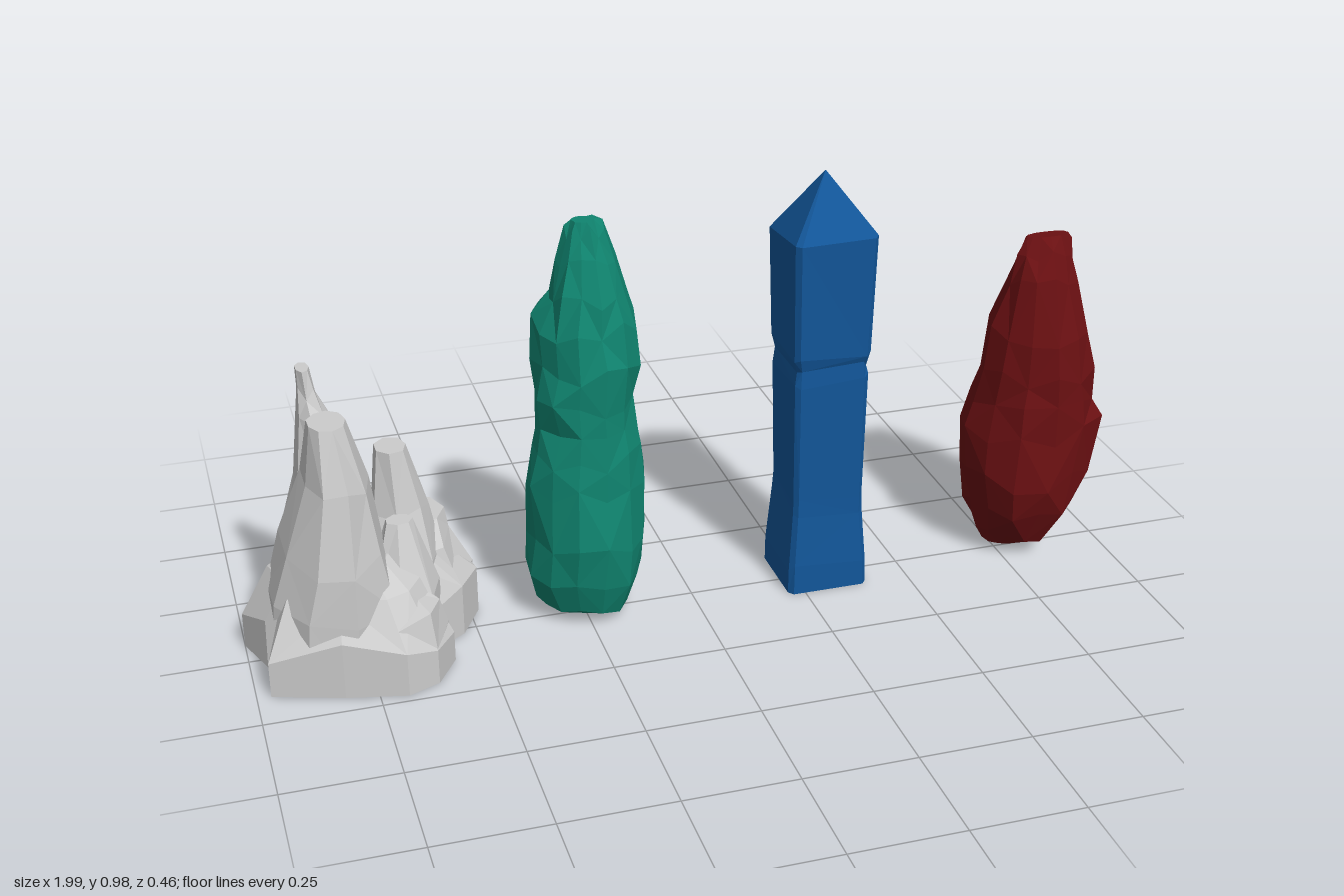
import * as THREE from 'three';

// Repeatable random numbers
function seeded(seed) {
  let s = seed;
  return () => {
    s = (s * 16807) % 2147483647;
    return s / 2147483647;
  };
}

const material = (color) => new THREE.MeshStandardMaterial({ color, flatShading: true });

// Faceted solid through rings of [x, y, z] points, capped at both ends
function loft(rings) {
  const pos = [];
  const tri = (a, b, c) => pos.push(...a, ...b, ...c);
  const middle = (r) => [0, 1, 2].map((k) => r.reduce((sum, p) => sum + p[k], 0) / r.length);
  const n = rings[0].length;
  const bottom = rings[0], top = rings[rings.length - 1];
  const cb = middle(bottom), ct = middle(top);
  for (let i = 0; i < n; i++) {
    const j = (i + 1) % n;
    for (let k = 0; k + 1 < rings.length; k++) {
      const a = rings[k][i], b = rings[k][j], c = rings[k + 1][i], d = rings[k + 1][j];
      // alternate the diagonals for an irregular facet pattern
      if ((i + k) % 2) { tri(a, c, b); tri(b, c, d); }
      else { tri(a, d, b); tri(a, c, d); }
    }
    tri(cb, bottom[i], bottom[j]);
    tri(ct, top[j], top[i]);
  }
  const geometry = new THREE.BufferGeometry();
  geometry.setAttribute('position', new THREE.Float32BufferAttribute(pos, 3));
  geometry.computeVertexNormals();
  return geometry;
}

// Unit outlines
const round = (n) => Array.from({ length: n }, (_, i) => {
  const t = (i / n) * Math.PI * 2;
  return [Math.cos(t), Math.sin(t)];
});
const square = (c) => [[1, -c], [1, c], [c, 1], [-c, 1], [-1, c], [-1, -c], [-c, -1], [c, -1]];

// Sections are [y, xMin, xMax, zMin, zMax]; rough shifts points in and out, lift up and down
function rock(sections, outline, seed = 1, rough = 0, lift = 0) {
  const rand = seeded(seed * 7919);
  rand();
  return loft(sections.map(([y, x0, x1, z0, z1], k) => outline.map(([u, v]) => {
    const s = 1 + (rand() * 2 - 0.9) * rough;
    const inner = k > 0 && k < sections.length - 1;
    const dy = (rand() * 2 - 1) * (inner ? lift : 0);
    return [
      (x0 + x1) / 2 + (x1 - x0) / 2 * u * s,
      y + dy,
      (z0 + z1) / 2 + (z1 - z0) / 2 * v * s,
    ];
  })));
}

function mesh(name, geometry, mat) {
  const m = new THREE.Mesh(geometry, mat);
  m.name = name;
  return m;
}

// Grey outcrop: an irregular skirt with spires and boulders
function createOutcrop() {
  const group = new THREE.Group();
  group.name = 'greyOutcrop';
  const mat = material(0xcccccc);

  // [x, z, height of the rim]
  const rim = [
    [-1, -0.07, 0.08], [-0.92, -0.17, 0.1], [-0.78, -0.23, 0.14], [-0.73, -0.19, 0.16],
    [-0.6, -0.2, 0.16], [-0.52, -0.16, 0.14], [-0.48, -0.07, 0.11], [-0.53, 0.02, 0.12],
    [-0.59, 0.06, 0.1], [-0.57, 0.12, 0.07], [-0.62, 0.2, 0.08], [-0.69, 0.23, 0.1],
    [-0.82, 0.2, 0.13], [-0.97, 0.15, 0.08], [-0.96, 0.04, 0.12],
  ];
  const inset = (s, y) => rim.map(([x, z]) => [-0.78 + (x + 0.78) * s, y, -0.01 + (z + 0.01) * s]);
  group.add(mesh('baseSkirt', loft([
    inset(1, 0),
    rim.map(([x, z, h]) => [x, h, z]),
    inset(0.72, 0.2),
    inset(0.45, 0.25),
  ]), mat));

  const parts = {
    mainSpire: [[0, -0.96, -0.68, -0.18, 0.19], [0.16, -0.955, -0.66, -0.18, 0.2],
      [0.28, -0.91, -0.69, -0.16, 0.195], [0.44, -0.86, -0.72, -0.08, 0.15],
      [0.575, -0.84, -0.76, 0, 0.1]],
    tallSpire: [[0, -0.95, -0.7, -0.21, 0.05], [0.25, -0.91, -0.7, -0.19, 0.05],
      [0.4, -0.87, -0.72, -0.165, 0.03], [0.54, -0.845, -0.78, -0.14, -0.02],
      [0.59, -0.84, -0.8, -0.13, -0.05], [0.64, -0.84, -0.81, -0.115, -0.06]],
    sideSpire: [[0, -0.74, -0.54, -0.16, 0.04], [0.2, -0.74, -0.56, -0.15, 0.04],
      [0.3, -0.71, -0.58, -0.13, 0], [0.44, -0.69, -0.62, -0.11, -0.03]],
    lowSpire: [[0, -0.75, -0.58, -0.05, 0.12], [0.15, -0.74, -0.58, -0.04, 0.12],
      [0.31, -0.69, -0.63, 0, 0.05]],
    sideBoulder: [[0, -0.74, -0.49, -0.2, 0.02], [0.11, -0.74, -0.49, -0.2, 0.02],
      [0.2, -0.7, -0.53, -0.2, 0], [0.25, -0.66, -0.54, -0.18, -0.05]],
    frontBoulder: [[0, -0.8, -0.58, 0, 0.22], [0.09, -0.8, -0.58, 0, 0.22],
      [0.15, -0.76, -0.6, 0.03, 0.2], [0.18, -0.74, -0.64, 0.04, 0.12]],
  };
  Object.entries(parts).forEach(([name, sections], i) => {
    group.add(mesh(name, rock(sections, round(name === 'mainSpire' ? 9 : 7), i + 3, 0.05, 0.015), mat));
  });
  return group;
}

export function createModel() {
  const model = new THREE.Group();
  model.name = 'crystalsAndRocks';
  model.add(createOutcrop());

  // Knobbly green stone
  model.add(mesh('greenStone', rock([
    [0.015, -0.29, -0.16, -0.08, 0.05], [0.04, -0.345, -0.14, -0.12, 0.08],
    [0.11, -0.37, -0.12, -0.15, 0.1], [0.2, -0.365, -0.11, -0.155, 0.11],
    [0.33, -0.37, -0.1, -0.155, 0.11], [0.4, -0.355, -0.11, -0.145, 0.1],
    [0.46, -0.335, -0.125, -0.13, 0.085], [0.53, -0.345, -0.12, -0.14, 0.09],
    [0.61, -0.34, -0.115, -0.14, 0.09], [0.7, -0.34, -0.12, -0.135, 0.08],
    [0.77, -0.31, -0.14, -0.115, 0.06], [0.85, -0.285, -0.165, -0.08, 0.03],
    [0.905, -0.27, -0.185, -0.055, 0.01], [0.928, -0.255, -0.205, -0.04, 0],
  ], round(13), 11, 0.085, 0.022), material(0x108570)));

  // Square blue crystal with a flared foot, a notched waist and a pyramid tip
  const column = (y, r) => [y, 0.305 - r, 0.305 + r, -0.02 - r, -0.02 + r];
  model.add(mesh('blueCrystal', rock([
    column(0, 0.094), column(0.06, 0.092), column(0.19, 0.083), column(0.23, 0.081),
    column(0.52, 0.085), column(0.55, 0.081), column(0.58, 0.088),
    column(0.84, 0.094), column(0.98, 0.001),
  ], square(0.88), 5, 0.012, 0.012), material(0x125699)));

  // Bulging red stone tapering to a blunt top
  model.add(mesh('redStone', rock([
    [0.018, 0.73, 0.82, -0.07, 0.03], [0.045, 0.71, 0.88, -0.11, 0.07],
    [0.12, 0.685, 0.93, -0.14, 0.115], [0.21, 0.665, 0.965, -0.15, 0.125],
    [0.32, 0.67, 0.995, -0.16, 0.12], [0.39, 0.685, 0.98, -0.165, 0.11],
    [0.46, 0.7, 0.96, -0.13, 0.105], [0.56, 0.715, 0.945, -0.12, 0.095],
    [0.68, 0.75, 0.91, -0.08, 0.055], [0.745, 0.77, 0.9, -0.055, 0.025],
    [0.775, 0.79, 0.89, -0.035, 0],
  ], round(12), 23, 0.06, 0.02), material(0x6a1012)));

  return model;
}
